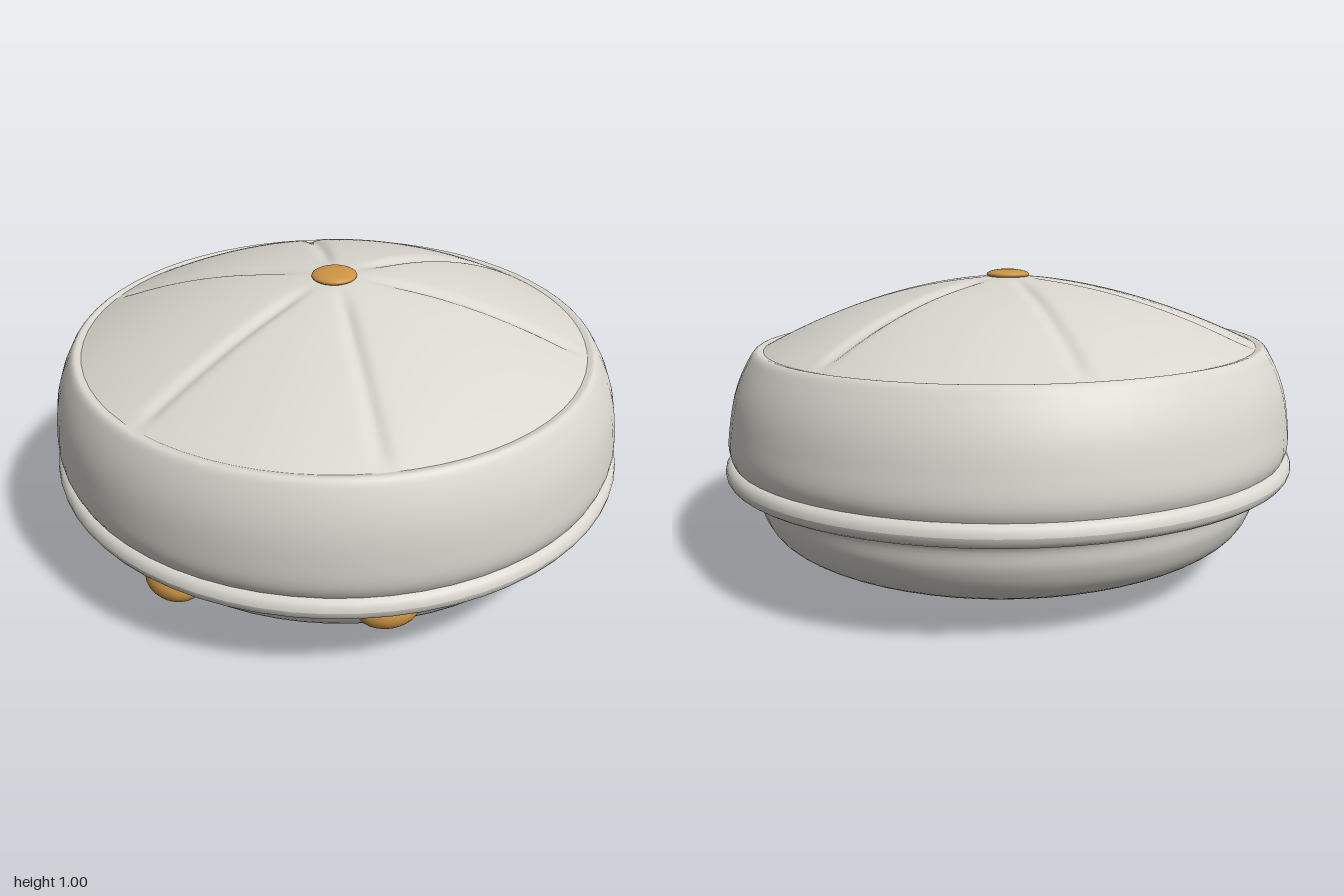
import * as THREE from 'three';

const fabric = new THREE.MeshStandardMaterial({ color: 0xd9d7cf });
fabric.name = 'fabric';
const brass = new THREE.MeshStandardMaterial({ color: 0xcc9444 });
brass.name = 'brass';

const TILT_X = -0.015;

// Closed rings of vertices from point(theta, v); v runs upward / inward.
function ringSurface(around, rows, point) {
  const pos = [], index = [];
  for (let j = 0; j <= rows; j++) {
    for (let i = 0; i < around; i++) {
      pos.push(...point((i / around) * Math.PI * 2, j / rows));
      if (j === rows) continue;
      const a = j * around + i, b = j * around + ((i + 1) % around);
      const c = a + around, d = b + around;
      index.push(a, b, c, b, d, c);
    }
  }
  const g = new THREE.BufferGeometry();
  g.setAttribute('position', new THREE.Float32BufferAttribute(pos, 3));
  g.setIndex(index);
  g.computeVertexNormals();
  return g;
}

// Smooth tilted shell through rings given as [radius, height, centre z].
function tiltedShell(rings, tiltZ, rows) {
  const curve = new THREE.CatmullRomCurve3(rings.map(r => new THREE.Vector3(...r)));
  return ringSurface(64, rows, (t, v) => {
    const p = curve.getPoint(v);
    const x = p.x * Math.sin(t), z = p.z + p.x * Math.cos(t);
    return [x, p.y + tiltZ * z + TILT_X * x, z];
  });
}

// Domed crown with six stitched folds running out from the button.
const APEX = { x: 0.01, y: 0.985, z: 0.08 };
const FOLD_ENDS = [[-0.82, -0.08], [-0.3, -0.72], [0.48, -0.62], [0.84, 0], [0.32, 0.8], [-0.42, 0.76]];
function crownGeometry() {
  const folds = FOLD_ENDS.map(([x, z]) => new THREE.Vector2(x - APEX.x, z - APEX.z).normalize());
  return ringSurface(360, 28, (t, v) => {
    const s = 1 - v;
    const ex = 0.872 * Math.sin(t), ez = 0.04 + 0.872 * Math.cos(t);
    const edgeY = 0.748 - 0.05 * ez + TILT_X * ex;
    const dx = (ex - APEX.x) * s, dz = (ez - APEX.z) * s;
    let y = APEX.y - (APEX.y - edgeY) * Math.pow(s, 1.85 - 0.42 * Math.cos(t));
    const fade = THREE.MathUtils.smoothstep(s, 0.06, 0.3) * (1 - THREE.MathUtils.smoothstep(s, 0.88, 1));
    for (const f of folds) {
      if (dx * f.x + dz * f.y <= 0) continue;
      const d = dx * f.y - dz * f.x;
      y -= 0.014 * fade * Math.exp(-((d / 0.025) ** 2));
    }
    return [APEX.x + dx, y, APEX.z + dz];
  });
}

export function createModel() {
  const model = new THREE.Group();
  const add = (name, geometry, material) => {
    const mesh = new THREE.Mesh(geometry, material);
    mesh.name = name;
    model.add(mesh);
    return mesh;
  };

  // Rounded underside
  add('base', tiltedShell([
    [0, 0.012, -0.02], [0.35, 0.018, -0.02], [0.6, 0.045, -0.02], [0.75, 0.09, -0.02],
    [0.84, 0.15, -0.02], [0.88, 0.23, -0.02], [0.89, 0.3, -0.02], [0.95, 0.345, 0],
  ], -0.035, 36), fabric);

  // Tall side band, rolled over at the shoulder
  add('band', tiltedShell([
    [0.955, 0.35, 0], [0.985, 0.42, 0.005], [0.98, 0.52, 0.015], [0.96, 0.62, 0.025],
    [0.922, 0.71, 0.035], [0.89, 0.755, 0.04], [0.865, 0.752, 0.04],
  ], -0.05, 30), fabric);

  // Piping around the lower edge
  add('piping', ringSurface(64, 16, (t, v) => {
    const a = v * Math.PI * 2, r = 0.964 + 0.036 * Math.cos(a);
    const x = r * Math.sin(t), z = r * Math.cos(t);
    return [x, 0.35 + 0.038 * Math.sin(a) - 0.05 * z + TILT_X * x, z];
  }), fabric);

  add('crown', crownGeometry(), fabric);

  // Button on top
  const top = add('topButton', new THREE.SphereGeometry(1, 28, 14), brass);
  top.scale.set(0.077, 0.019, 0.077);
  top.position.set(0.01, 0.988, 0.082);
  top.rotation.x = 0.05;

  // Two studs on the front
  for (const [name, x, y, z, turn] of [
    ['rightStud', -0.335, 0.213, 0.815, -0.35],
    ['leftStud', 0.345, 0.213, 0.795, 0.35],
  ]) {
    const stud = add(name, new THREE.SphereGeometry(1, 24, 16), brass);
    stud.scale.set(0.1, 0.06, 0.072);
    stud.position.set(x, y, z);
    stud.rotation.set(0.3, turn, 0);
  }
  return model;
}
